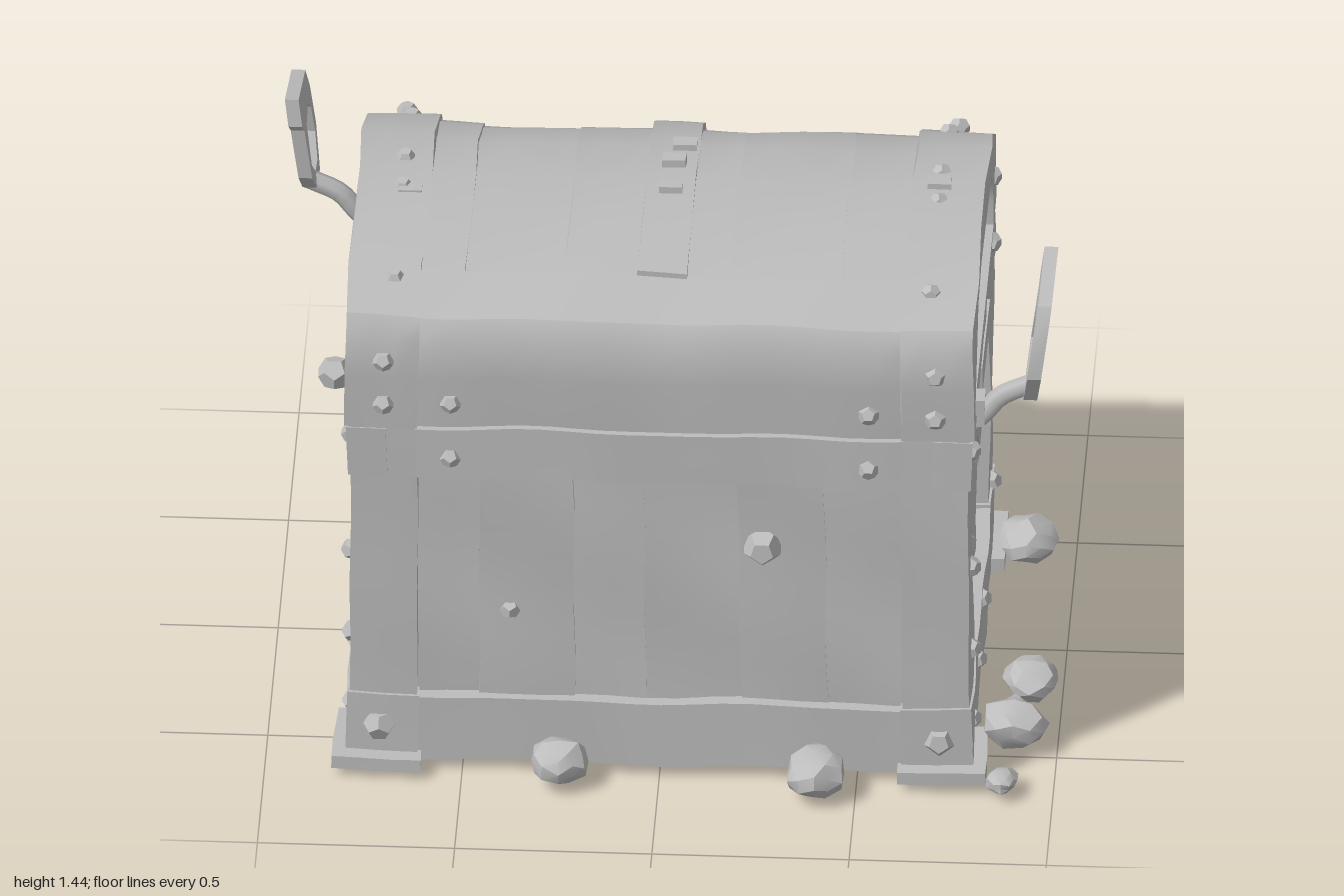
import * as THREE from 'three';
import { toCreasedNormals, mergeVertices } from 'three/addons/utils/BufferGeometryUtils.js';

const grey = new THREE.MeshStandardMaterial({ color: 0xbcbcbc });
grey.name = 'weathered grey';

let seed = 7;
const rnd = () => (seed = (seed * 16807) % 2147483647) / 2147483647;
const vary = a => (rnd() * 2 - 1) * a;

// Hand-carved unevenness: a smooth offset that depends only on position
function carve(geo, a = 0.005) {
  const p = geo.attributes.position, v = new THREE.Vector3();
  for (let i = 0; i < p.count; i++) {
    v.fromBufferAttribute(p, i);
    const { x, y, z } = v;
    p.setXYZ(i,
      x + a * Math.sin(9 * y + 14 * z + 2 * x) * Math.cos(5 * z + 3 * y),
      y + a * Math.sin(11 * x + 8 * z) * 0.8,
      z + a * Math.sin(13 * x + 8 * y + z) * Math.cos(6 * x - 4 * y));
  }
  return toCreasedNormals(geo, 0.6);
}

function add(parent, name, geo) {
  const mesh = new THREE.Mesh(geo, grey);
  mesh.name = name;
  parent.add(mesh);
  return mesh;
}

// Box given by its limits, cut into small fields and carved
function slab(parent, name, x0, x1, y0, y1, z0, z1, a) {
  const n = d => Math.max(1, Math.round(d / 0.08));
  const [w, h, d] = [x1 - x0, y1 - y0, z1 - z0];
  const geo = new THREE.BoxGeometry(w, h, d, n(w), n(h), n(d));
  geo.translate((x0 + x1) / 2, (y0 + y1) / 2, (z0 + z1) / 2);
  return add(parent, name, carve(geo, a));
}

// Outline in (z, y) extruded along x from x0 to x1
function sideExtrude(outline, x0, x1, hole) {
  const shape = new THREE.Shape(outline.map(p => new THREE.Vector2(...p)));
  if (hole) shape.holes.push(new THREE.Path(hole.map(p => new THREE.Vector2(...p))));
  const geo = new THREE.ExtrudeGeometry(shape, {
    depth: x1 - x0, bevelEnabled: false, steps: Math.max(1, Math.round((x1 - x0) / 0.07)) });
  return geo.rotateY(-Math.PI / 2).translate(x1, 0, 0);
}

const lidArc = [[0.64, 1.03], [0.645, 1.18], [0.645, 1.3], [0.615, 1.35], [0.43, 1.38], [0.2, 1.4], [0, 1.4],
  [-0.2, 1.378], [-0.36, 1.32], [-0.47, 1.25], [-0.525, 1.17], [-0.525, 1.03]];
const lidOutline = (off, arc = lidArc) => arc.map(([z, y]) =>
  [0.06 + (z - 0.06) * (1 + off / 0.59), 1.03 + (y - 1.03) * (1 + off / 0.37)]);
const lidOpening = [[0.5, 1.045], [0.5, 1.23], [0.42, 1.28], [0.1, 1.32], [-0.1, 1.3],
  [-0.25, 1.26], [-0.33, 1.2], [-0.355, 1.12], [-0.355, 1.045]];

function buildLid(g) {
  // Planks running over the arch
  const cuts = [-0.62, -0.5, -0.25, -0.06, 0.06, 0.17, 0.45, 0.62];
  for (let i = 0; i < cuts.length - 1; i++)
    add(g, 'lidPlank', carve(sideExtrude(lidOutline(-0.018 + vary(0.005)), cuts[i], cuts[i + 1])));
  // Thick board along the front edge, and the strap running back from it
  const front = [...lidArc.slice(0, 5), [0.4, 1.03]];
  add(g, 'lidFrontBoard', carve(sideExtrude(lidOutline(-0.012, front), -0.615, 0.615)));
  const strap = [...lidArc.slice(4), [0.43, 1.03]];
  add(g, 'lidCentreStrap', carve(sideExtrude(lidOutline(0.002, strap), -0.065, 0.06)));
  for (const s of [-1, 1]) {
    const [a, b] = s > 0 ? [0.61, 0.795] : [-0.795, -0.61];
    add(g, 'lidEndStrap', carve(sideExtrude(lidArc, a, b, lidOpening)));
    const [c, d] = s > 0 ? [0.6, 0.76] : [-0.76, -0.6];
    add(g, 'lidEndPanel', carve(sideExtrude(lidOutline(-0.03), c, d)));
  }
  // Splintered chips on the top
  for (const [x, y, z] of [[0, 1.405, -0.05], [0, 1.405, 0.08], [0.68, 1.4, 0.02], [-0.66, 1.39, 0.1], [0.02, 1.39, -0.15]])
    slab(g, 'lidChip', x - 0.03, x + 0.03, y - 0.02, y + 0.015, z - 0.02, z + 0.02);
}

function buildBody(g) {
  slab(g, 'innerBox', -0.7, 0.7, 0.11, 1.04, -0.45, 0.57, 0);
  // Vertical planks on all four walls
  const xs = [-0.62, -0.46, -0.22, -0.04, 0.2, 0.42, 0.62];
  for (let i = 0; i < 6; i++) {
    const t = vary(0.006);
    slab(g, 'frontPlank', xs[i], xs[i + 1], 0.15, 0.95, 0.55, 0.607 + t, 0.009);
    slab(g, 'backPlank', xs[i], xs[i + 1], 0.15, 0.95, -0.485 + t, -0.43, 0.009);
  }
  const zs = [-0.34, -0.14, 0.06, 0.22, 0.34, 0.47];
  for (const s of [-1, 1]) for (let i = 0; i < 5; i++) {
    const e = 0.748 + vary(0.009);
    slab(g, 'sidePlank', s > 0 ? 0.68 : -e, s > 0 ? e : -0.68, 0.15, 0.95, zs[i], zs[i + 1] - 0.004, 0.009);
  }
  // Corner posts with spreading feet
  for (const s of [-1, 1]) {
    const [a, b] = s > 0 ? [0.615, 0.785] : [-0.785, -0.615];
    for (const [z0, z1, f0, f1] of [[0.465, 0.637, 0.46, 0.685], [-0.508, -0.325, -0.55, -0.32]]) {
      slab(g, 'cornerPost', a, b, 0.03, 1.03, z0, z1);
      slab(g, 'cornerShoe', a - 0.006, b + 0.006, 0.04, 0.225, z0 - 0.006, z1 + 0.008);
      slab(g, 'foot', s > 0 ? 0.6 : -0.825, s > 0 ? 0.825 : -0.6, 0.022, 0.058, f0, f1);
    }
    // Wide strap under each end
    slab(g, 'bottomEndStrap', a, b, 0.032, 0.12, -0.49, 0.62);
  }
  // Base boards and upper bands
  for (const [name, y0, y1] of [['baseBoard', 0.03, 0.215], ['upperBand', 0.88, 1.025]]) {
    slab(g, name, -0.62, 0.62, y0, y1, 0.55, 0.637);
    slab(g, name, -0.62, 0.62, y0, y1, -0.508, -0.43);
    for (const s of [-1, 1])
      slab(g, name, s > 0 ? 0.69 : -0.791, s > 0 ? 0.791 : -0.69, y0, y1, -0.512, 0.64);
  }
  // Underside boards and cross bar
  for (let i = 0; i < 5; i++)
    slab(g, 'bottomBoard', -0.7 + i * 0.28, -0.43 + i * 0.28, 0.075 + vary(0.006), 0.13, -0.45, 0.57, 0.004);
  slab(g, 'bottomBar', -0.63, 0.63, 0.045, 0.1, 0.04, 0.09, 0.004);
  // Hanging end plates
  const plate = [[0.42, 0.89], [0.37, 0.845], [0.23, 0.82], [0.2, 0.75], [0.15, 0.7], [0.13, 0.64], [-0.02, 0.64],
    [-0.03, 0.7], [-0.1, 0.76], [-0.125, 0.89]];
  const block = [[0.24, 1.0], [0.23, 0.92], [-0.07, 0.9], [-0.07, 1.0]];
  for (const s of [-1, 1]) {
    const side = (x0, x1) => s > 0 ? [x0, x1] : [-x1, -x0];
    add(g, 'endPlate', carve(sideExtrude(plate, ...side(0.71, 0.783))));
    add(g, 'endBlock', carve(sideExtrude(block, ...side(0.76, 0.8))));
  }
}

// Carrying handle: a leaning ring plate on a bent arm
function buildHandle(parent, armZ) {
  const h = new THREE.Group();
  h.name = 'handle';
  const outline = [[0.6, 1.2], [0.59, 1.32], [0.55, 1.39], [0.34, 1.435], [0.33, 1.36], [0.36, 1.33], [0.37, 1.18],
    [0.42, 1.12], [0.47, 1.1], [0.54, 1.1]];
  const hole = [[0.56, 1.2], [0.55, 1.28], [0.5, 1.32], [0.42, 1.31], [0.4, 1.2], [0.45, 1.15], [0.52, 1.14]];
  const geo = sideExtrude(outline, 0.92, 0.955, hole);
  const p = geo.attributes.position;
  for (let i = 0; i < p.count; i++) p.setX(i, p.getX(i) + (p.getY(i) - 1.12) * 0.13);
  add(h, 'handleRing', toCreasedNormals(geo, 0.6));
  const path = new THREE.CatmullRomCurve3([[0.78, 0.99], [0.82, 1.03], [0.86, 1.08], [0.94, 1.12]]
    .map(([x, y]) => new THREE.Vector3(x, y, armZ)));
  add(h, 'handleArm', new THREE.TubeGeometry(path, 8, 0.026, 7));
  slab(h, 'handleMount', 0.77, 0.82, 1.0, 1.08, armZ - 0.03, armZ + 0.03, 0.004);
  parent.add(h);
  return h;
}

// Padlock and clasp on the back wall
function buildLock(parent) {
  const g = new THREE.Group();
  g.name = 'padlock';
  slab(g, 'lockBody', -0.14, 0.14, 0.43, 0.72, -0.606, -0.5);
  const path = new THREE.CatmullRomCurve3([[-0.075, 0.68], [-0.08, 0.86], [-0.05, 0.94], [0, 0.965], [0.05, 0.94],
    [0.08, 0.86], [0.075, 0.68]].map(([x, y]) => new THREE.Vector3(x, y, -0.535)));
  add(g, 'shackle', new THREE.TubeGeometry(path, 24, 0.026, 8));
  // Clasp drawn as a side outline: hinged at the lid, bulging over the shackle
  const clasp = [[-0.48, 1.13], [-0.48, 0.98], [-0.52, 0.86], [-0.57, 0.85], [-0.588, 0.95], [-0.575, 1.03], [-0.545, 1.12]];
  add(g, 'clasp', carve(sideExtrude(clasp, -0.055, 0.055)));
  slab(g, 'claspHinge', -0.085, 0.085, 1.03, 1.11, -0.55, -0.5, 0.004);
  slab(g, 'keyPlate', -0.035, 0.035, 0.48, 0.61, -0.62, -0.6, 0.003);
  add(g, 'keyRing', new THREE.TorusGeometry(0.03, 0.011, 6, 12).rotateY(Math.PI / 2).translate(0, 0.52, -0.615));
  parent.add(g);
}

// Irregular stone with a flattened underside
function rock(parent, x, y, z, rx, ry, rz) {
  let geo = new THREE.IcosahedronGeometry(1, 1);
  geo.deleteAttribute('normal');
  geo.deleteAttribute('uv');
  geo = mergeVertices(geo, 1e-3);
  const p = geo.attributes.position;
  for (let i = 0; i < p.count; i++) {
    const k = 0.94 + vary(0.13);
    p.setXYZ(i, p.getX(i) * k * rx, Math.max(-0.8, p.getY(i) * k) * ry, p.getZ(i) * k * rz);
  }
  const mesh = add(parent, 'rock', toCreasedNormals(geo, 0.5));
  mesh.position.set(x, y, z);
}

function buildRocks(g) {
  // x, z, radius along x, radius along z, height
  for (const [x, z, rx, rz, h] of [[-0.68, -0.69, 0.14, 0.085, 0.1], [-0.37, -0.7, 0.11, 0.08, 0.1],
    [-0.08, -0.74, 0.075, 0.08, 0.08], [0.16, -0.64, 0.1, 0.085, 0.11], [0.68, -0.6, 0.07, 0.06, 0.1],
    [-0.26, -0.54, 0.07, 0.04, 0.09], [0.88, -0.41, 0.075, 0.095, 0.1], [0.92, 0.24, 0.075, 0.08, 0.1],
    [0.89, 0.46, 0.085, 0.085, 0.12], [0.87, 0.68, 0.045, 0.055, 0.05], [0.4, 0.71, 0.08, 0.09, 0.11],
    [-0.25, 0.69, 0.085, 0.075, 0.11]])
    rock(g, x, 0.02 + h * 0.45, z, rx, h * 0.56, rz);
  // Heap of stones by the back corner
  rock(g, 0.46, 0.1, -0.66, 0.115, 0.13, 0.115);
  for (let i = 0; i < 14; i++) {
    const a = i * 2.4, t = i / 14, r = 0.095 * Math.sqrt(1 - t * t);
    rock(g, 0.46 + Math.cos(a) * r, 0.05 + t * 0.15, -0.66 + Math.sin(a) * r, 0.045, 0.05, 0.045);
  }
}

function buildRivets(g) {
  const rivet = (x, y, z, r = 0.028) => add(g, 'rivet',
    new THREE.DodecahedronGeometry(r).rotateX(x + y)).position.set(x, y, z);
  for (const s of [-1, 1]) {
    for (const [z, d] of [[0.635, 1], [-0.507, -1]]) {
      for (const [x, y] of [[0.7, 1.23], [0.7, 1.1], [0.53, 0.94]]) rivet(s * x, y, z + (y > 1 ? d * 0.008 : 0));
      rivet(s * 0.71, 0.13, z, 0.043);
    }
    rivet(s * 0.53, 1.1, 0.63);
    // End walls
    for (const [z, y] of [[0.55, 0.6], [0.53, 0.34], [0.53, 0.13], [0.27, 0.14], [0.05, 0.18],
      [-0.42, 0.23], [-0.42, 0.95], [0.55, 0.95], [-0.45, 1.13]]) rivet(s * 0.785, y, z);
    rivet(s * 0.75, 0.44, 0.19);
    // Along the lid straps
    for (const [z, y] of [[0.47, 1.37], [0.08, 1.393], [-0.06, 1.39], [-0.4, 1.29]]) rivet(s * 0.68, y, z, 0.025);
  }
  rivet(-0.38, 0.47, 0.605);
  rivet(0.26, 0.68, 0.61, 0.05);
  rivet(-0.83, 1.09, 0.49, 0.045);
}

export function createModel() {
  const model = new THREE.Group();
  model.name = 'treasureChest';
  const part = (name, build) => {
    const g = new THREE.Group();
    g.name = name;
    build(g);
    model.add(g);
  };
  part('body', buildBody);
  part('lid', buildLid);
  part('rivets', buildRivets);
  part('rocks', buildRocks);
  buildHandle(model, 0.49);
  const other = buildHandle(model, 0.46);
  other.rotation.y = Math.PI;
  other.position.z = 0.1;
  buildLock(model);
  return model;
}
